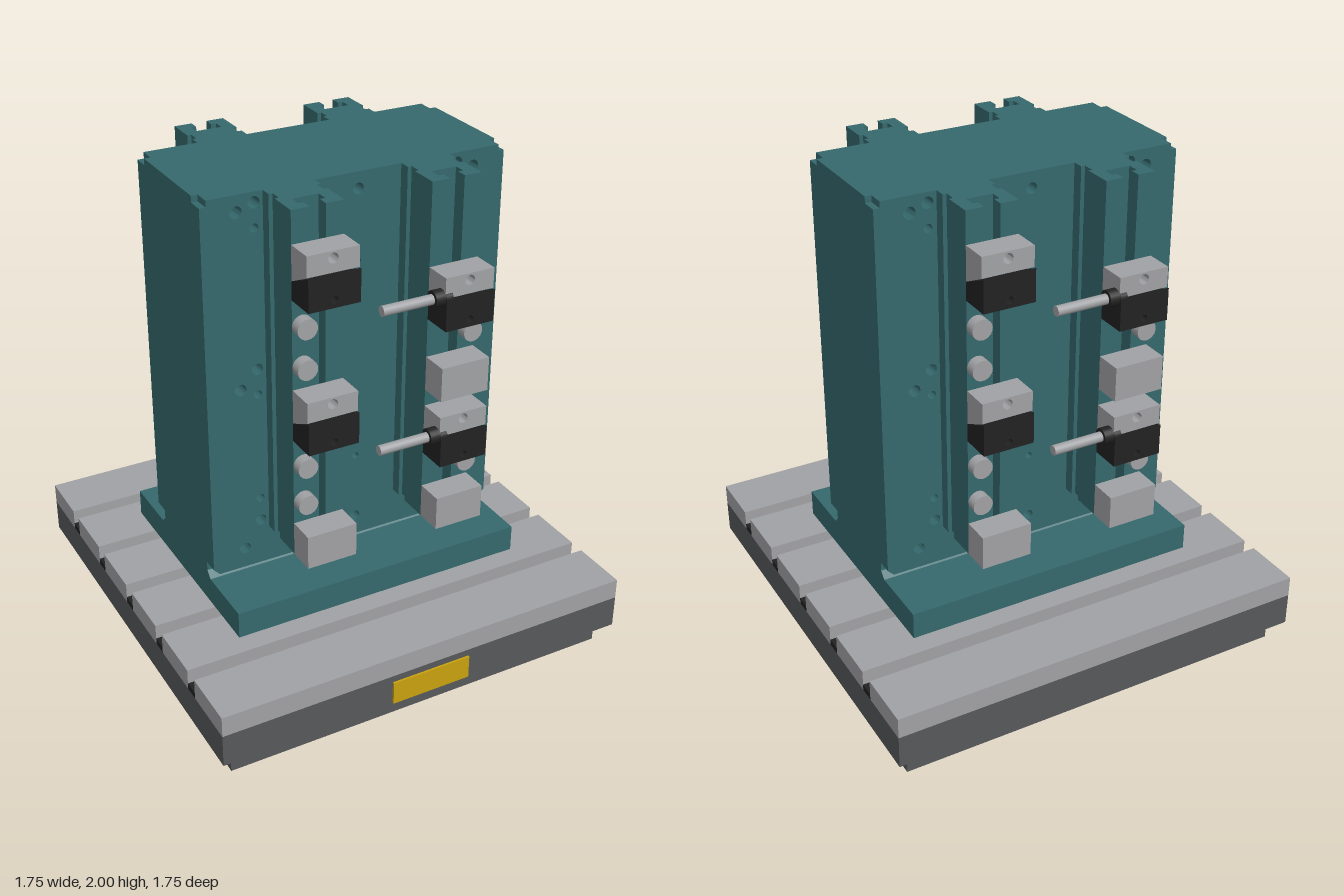
import * as THREE from 'three';
import { toCreasedNormals } from 'three/addons/utils/BufferGeometryUtils.js';

const mat = (name, color) => {
  const m = new THREE.MeshStandardMaterial({ color });
  m.name = name;
  return m;
};

export function createModel() {
  const teal = mat('teal paint', 0x35696d);
  const steel = mat('light steel', 0xa1a2a5);
  const iron = mat('dark grey iron', 0x56585a);
  const black = mat('black oxide', 0x222222);
  const yellow = mat('yellow plate', 0xc8a20f);

  const model = new THREE.Group();
  model.name = 'fixtureTower';
  const root = new THREE.Group();
  root.name = 'assembly';
  root.position.z = -0.005;
  model.add(root);

  const add = (parent, name, geo, material, x = 0, y = 0, z = 0) => {
    const m = new THREE.Mesh(geo, material);
    m.name = name;
    m.position.set(x, y, z);
    parent.add(m);
    return m;
  };
  // Box given by its limits on each axis
  const box = (parent, name, material, [x0, x1], [y0, y1], [z0, z1]) =>
    add(parent, name, new THREE.BoxGeometry(x1 - x0, y1 - y0, z1 - z0), material,
      (x0 + x1) / 2, (y0 + y1) / 2, (z0 + z1) / 2);
  const polygon = pts => new THREE.Shape(pts.map(p => new THREE.Vector2(...p)));
  const circle = (x, y, r) => new THREE.Path().absarc(x, y, r, 0, Math.PI * 2, true);
  const extrude = (shape, depth) =>
    new THREE.ExtrudeGeometry(shape, { depth, bevelEnabled: false, curveSegments: 10 });
  // Adds the left half of a profile by mirroring the right half
  const mirrored = half => polygon([...half, ...half.map(([x, y]) => [-x, y]).reverse()]);

  // Pallet: stepped base, slotted top plate, name plate
  const W = 0.873;
  box(root, 'palletFoot', iron, [-0.82, 0.82], [0, 0.09], [-0.82, 0.82]);
  box(root, 'palletBody', iron, [-W, W], [0.09, 0.225], [-W, W]);
  const slots = [-0.604, -0.302, 0, 0.302, 0.604];
  const edges = [-W, ...slots.flatMap(z => [z - 0.031, z + 0.031]), W];
  for (let i = 0; i < edges.length; i += 2) {
    box(root, 'palletTopStrip', steel, [-W, W], [0.225, 0.31], [edges[i], edges[i + 1]]);
  }
  for (const z of slots) {
    box(root, 'slotFloor', black, [-W, W], [0.225, 0.25], [z - 0.031, z + 0.031]);
  }
  box(root, 'namePlate', yellow, [-0.168, 0.168], [0.1, 0.197], [W, W + 0.009]);

  // Tower core with flared neck and foot, profile in z-y swept along x
  const core = extrude(mirrored([
    [0.488, 0.31], [0.488, 0.42], [0.235, 0.42], [0.208, 0.447], [0.208, 2],
  ]), 1.24);
  core.rotateY(Math.PI / 2);
  add(root, 'towerCore', core, teal, -0.62, 0, 0);

  // Drilled face plate with clipped corners
  const plate = mirrored([
    [0.595, 0.46], [0.62, 0.485], [0.62, 1.975], [0.595, 1.975], [0.595, 2],
  ]);
  for (const s of [-1, 1]) {
    for (const y of [0.545, 1.24, 1.935]) plate.holes.push(circle(s * 0.485, y, 0.024));
    for (const y of [0.655, 1.31, 1.96]) plate.holes.push(circle(s * 0.415, y, 0.023));
    for (const y of [0.755, 1.205, 1.865]) plate.holes.push(circle(s * 0.415, y, 0.017));
  }
  for (const y of [0.545, 1.935]) plate.holes.push(circle(0, y, 0.022));
  for (const y of [0.825, 1.655]) plate.holes.push(circle(0, y, 0.014));
  const plateGeo = toCreasedNormals(extrude(plate, 0.065), 0.7);

  // T-slotted rail, cross-section swept upwards
  const H = 0.102;
  const railGeo = extrude(mirrored([
    [H, -0.27], [H, -0.318], [H - 0.016, -0.318], [H - 0.016, -0.365], [H, -0.365],
    [H, -0.485], [0.031, -0.485], [0.031, -0.442], [0.052, -0.442], [0.052, -0.395],
  ]), 2 - 0.615);
  railGeo.rotateX(-Math.PI / 2);

  // Drilled block whose edge at height 0 slopes down towards the rail
  const wedgeBlock = (y0, y1, depth, holeY, holeR) => {
    const shape = polygon([[-H, y0], [H, y0], [H, y1], [-H, y1]]);
    shape.holes.push(circle(0, holeY, holeR));
    const geo = extrude(shape, depth);
    const p = geo.attributes.position;
    for (let i = 0; i < p.count; i++) {
      if (Math.abs(p.getY(i)) < 1e-6) p.setY(i, -0.055 * (1 - p.getZ(i) / depth));
    }
    geo.computeVertexNormals();
    return toCreasedNormals(geo, 0.7);
  };
  const jawGeo = wedgeBlock(0, 0.08, 0.112, 0.053, 0.02);
  const wedgeGeo = wedgeBlock(-0.127, 0, 0.123, -0.097, 0.014);
  const rod = (r, length) => new THREE.CylinderGeometry(r, r, length, 20);

  // One working face: plate, rails, clamps, stops and rest buttons
  const buildFace = name => {
    const face = new THREE.Group();
    face.name = name;
    add(face, 'facePlate', plateGeo, teal, 0, 0, 0.208);

    const clamp = (x, y) => {
      add(face, 'clampJaw', jawGeo, steel, x, y, 0.485);
      add(face, 'clampWedge', wedgeGeo, black, x, y, 0.485);
    };
    const stop = (x, y0, y1) =>
      box(face, 'fixedStop', steel, [x - H, x + H], [y0, y1], [0.485, 0.597]);
    const button = (x, y) =>
      add(face, 'restButton', rod(0.04, 0.065), steel, x, y, 0.4955).rotation.x = Math.PI / 2;

    const L = -0.278, R = 0.278;
    for (const x of [L, R]) {
      add(face, 'slottedRail', railGeo, teal, x, 0.615, 0);
      stop(x, 0.615, 0.752);
    }
    stop(R, 1.175, 1.313);
    for (const y of [1.795, 1.235]) clamp(L, y);
    for (const y of [1.595, 1.027]) {
      clamp(R, y);
      // Side locating pin with its collar
      add(face, 'locatingPin', rod(0.02, 0.215), steel, 0.035, y - 0.002, 0.572).rotation.z = Math.PI / 2;
      add(face, 'pinCollar', rod(0.033, 0.045), black, 0.158, y - 0.002, 0.572).rotation.z = Math.PI / 2;
      add(face, 'pinNut', rod(0.026, 0.03), black, 0.19, y - 0.002, 0.582).rotation.z = Math.PI / 2;
    }
    for (const y of [1.565, 1.405, 1.0, 0.843]) button(-0.34, y);
    for (const y of [1.395, 0.833]) button(0.35, y);
    return face;
  };
  const back = buildFace('backFace');
  back.rotation.y = Math.PI;
  root.add(buildFace('frontFace'), back);

  return model;
}
